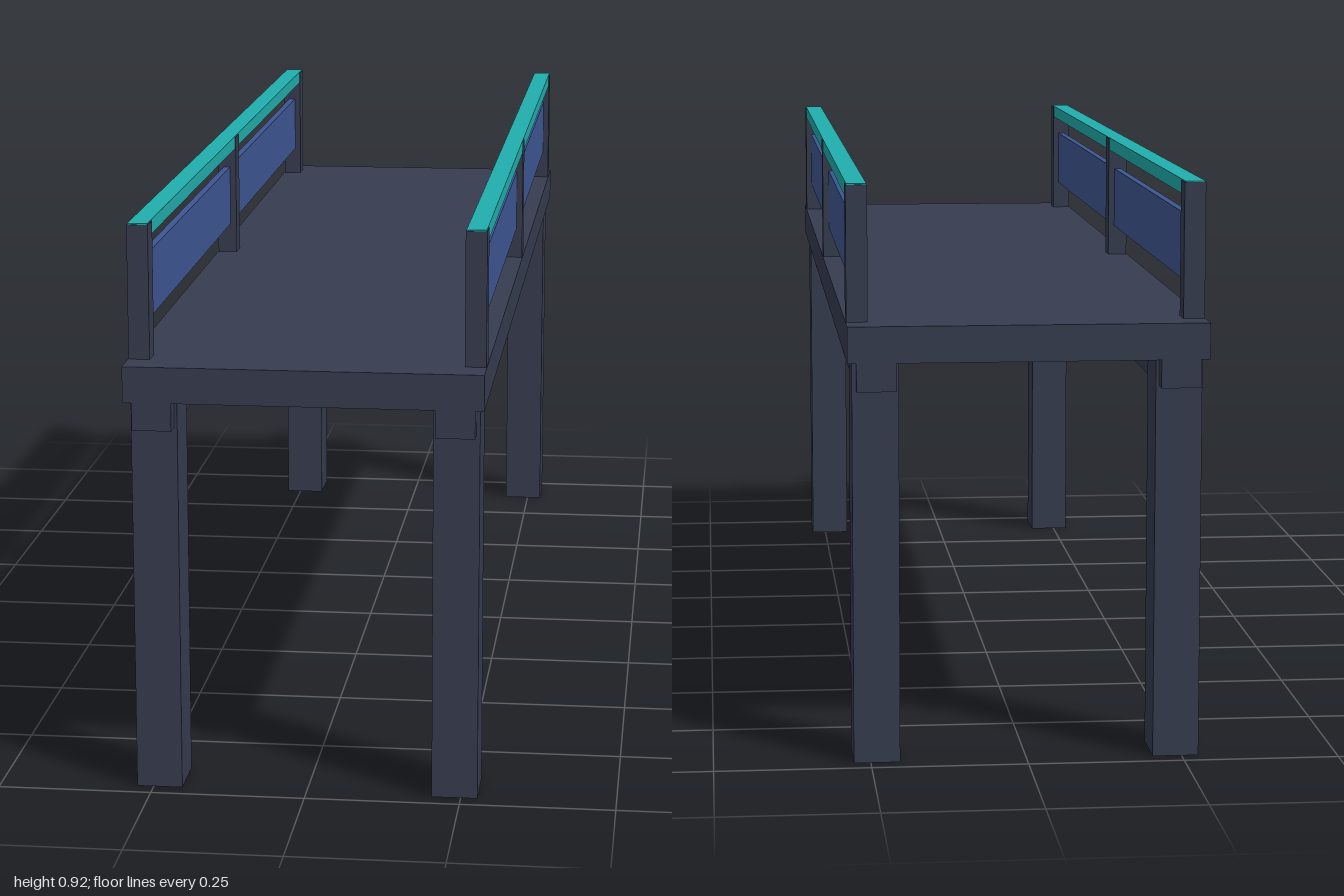
import * as THREE from 'three';

export function createModel() {
  const model = new THREE.Group();
  model.name = 'footbridge';

  const material = (name, color) => {
    const m = new THREE.MeshStandardMaterial({ color });
    m.name = name;
    return m;
  };
  const slate = material('slate', 0x363c50);
  const blue = material('panelBlue', 0x3d5793);
  const teal = material('railTeal', 0x21adad);
  const pink = material('lightPink', 0xbc3fa0);

  // Box given by its extents along each axis
  const box = (parent, name, mat, [x0, x1], [y0, y1], [z0, z1]) => {
    const mesh = new THREE.Mesh(new THREE.BoxGeometry(Math.abs(x1 - x0), y1 - y0, z1 - z0), mat);
    mesh.position.set((x0 + x1) / 2, (y0 + y1) / 2, (z0 + z1) / 2);
    mesh.name = name;
    parent.add(mesh);
  };
  const around = (c, size) => [c - size / 2, c + size / 2];

  // Walkway
  box(model, 'deck', slate, [-0.285, 0.285], [0.647, 0.705], [-1, 1]);

  for (const s of [-1, 1]) {
    const side = new THREE.Group();
    side.name = s > 0 ? 'leftSide' : 'rightSide';
    model.add(side);
    const span = (a, b) => [s * a, s * b];

    // Edge beam under the deck
    box(side, 'beam', slate, span(0.208, 0.271), [0.602, 0.647], [-0.999, 0.999]);

    // Legs
    for (const z of [-0.925, 0.925])
      box(side, 'leg', slate, span(0.203, 0.277), [0, 0.647], around(z, 0.092));

    // Railing posts and handrail
    for (const z of [-0.925, 0, 0.925])
      box(side, 'post', slate, span(0.25, 0.284), [0.705, 0.921], around(z, 0.04));
    box(side, 'handrail', teal, span(0.251, 0.283), [0.9, 0.923], [-0.944, 0.944]);

    // Infill panels between posts
    for (const z of [-0.4625, 0.4625])
      box(side, 'panel', blue, span(0.261, 0.273), [0.758, 0.865], around(z, 0.885));

    // Small lights on the beam
    for (const z of [-0.625, -0.312, 0.312, 0.625])
      box(side, 'light', pink, span(0.27, 0.275), [0.613, 0.643], around(z, 0.066));
  }
  return model;
}
